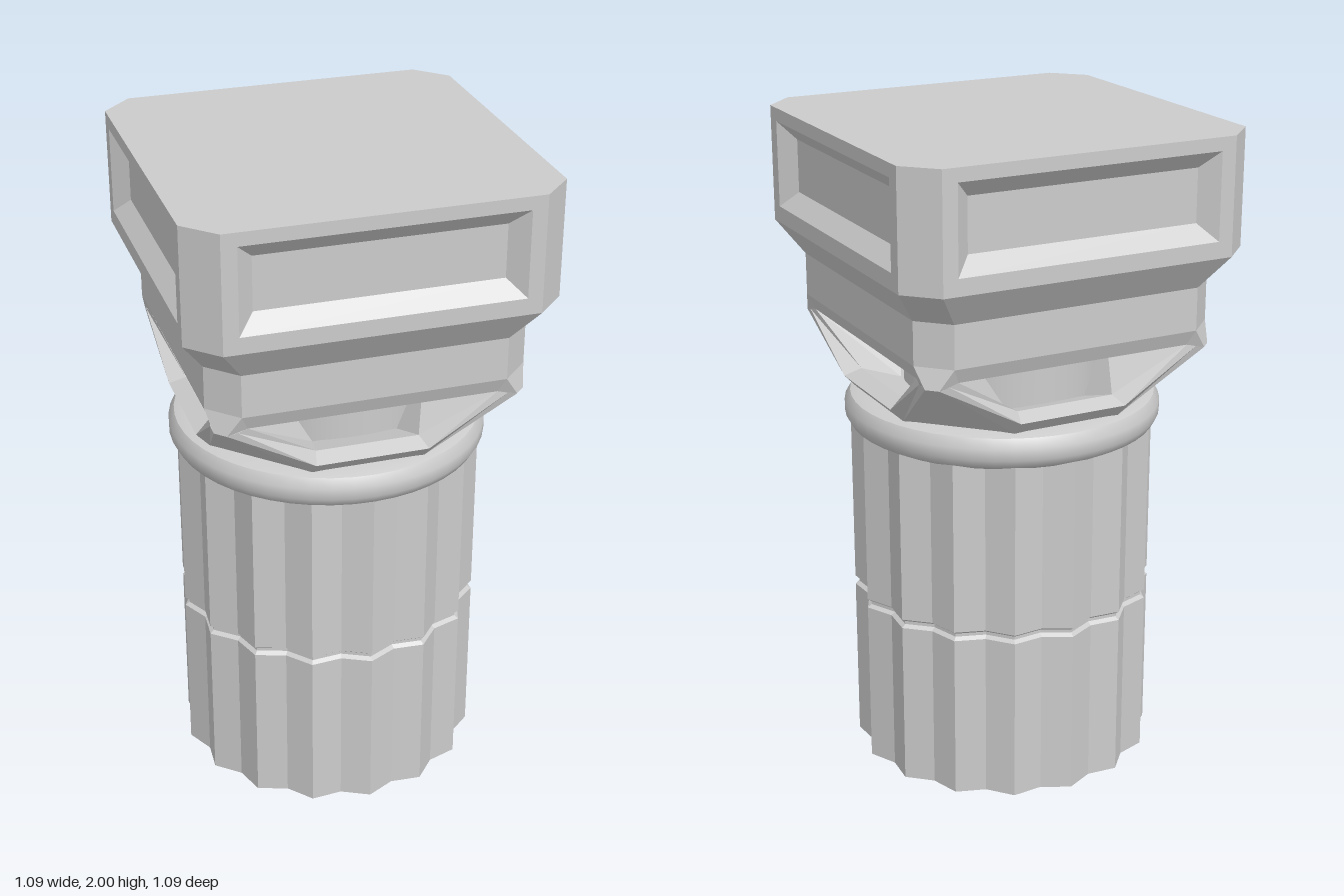
import * as THREE from 'three';
import { toCreasedNormals } from 'three/addons/utils/BufferGeometryUtils.js';

const smooth = new THREE.MeshStandardMaterial({ color: 0xcccccc });
const flat = new THREE.MeshStandardMaterial({ color: 0xcccccc, flatShading: true, side: THREE.DoubleSide });

function add(group, name, geometry, material) {
  const mesh = new THREE.Mesh(geometry, material);
  mesh.name = name;
  group.add(mesh);
  return mesh;
}

const lathe = (points, segments) =>
  new THREE.LatheGeometry(points.map(([r, y]) => new THREE.Vector2(r, y)), segments);

// Collects the polygons of one quarter and repeats them on all four sides
function fourSided(build) {
  const corners = [];
  const face = (...p) => {
    for (let i = 2; i < p.length; i++) corners.push(p[0], p[i - 1], p[i]);
  };
  // Quads between two rows of points, the second row lying above or inside the first
  const strip = (a, b, closed = false) => {
    for (let i = 0; i < a.length - (closed ? 0 : 1); i++) {
      const j = (i + 1) % a.length;
      face(a[i], a[j], b[j], b[i]);
    }
  };
  build(face, strip);
  const positions = [];
  for (let k = 0; k < 4; k++) {
    const c = [1, 0, -1, 0][k], s = [0, 1, 0, -1][k];
    for (const [x, y, z] of corners) positions.push(x * c + z * s, y, z * c - x * s);
  }
  const geometry = new THREE.BufferGeometry();
  geometry.setAttribute('position', new THREE.Float32BufferAttribute(positions, 3));
  geometry.computeVertexNormals();
  return geometry;
}

// Levels of the chamfered square block: height, half width, half length of the straight side
const levels = [
  [1.36, 0.46, 0.43], [1.42, 0.475, 0.39], [1.55, 0.475, 0.39], [1.65, 0.545, 0.455], [2, 0.545, 0.455],
];

function blockGeometry() {
  return fourSided((face, strip) => {
    const rect = (x, y0, y1, z) => [[-x, y0, z], [x, y0, z], [x, y1, z], [-x, y1, z]];
    for (let i = 0; i < levels.length - 1; i++) {
      const [y0, h0, c0] = levels[i], [y1, h1, c1] = levels[i + 1];
      // chamfered corner
      face([c0, y0, h0], [h0, y0, c0], [h1, y1, c1], [c1, y1, h1]);
      // plain neck faces
      if (i === 1 || i === 2) face([-c0, y0, h0], [c0, y0, h0], [c1, y1, h1], [-c1, y1, h1]);
    }
    // recessed panel
    const rim = rect(0.41, 1.7, 1.96, 0.545), bed = rect(0.36, 1.75, 1.91, 0.5);
    strip(rect(0.455, 1.65, 2, 0.545), rim, true);
    strip(rim, bed, true);
    face(...bed);
    // top
    face([-0.455, 2, 0.545], [0.455, 2, 0.545], [0, 2, 0]);
    face([0.455, 2, 0.545], [0.545, 2, 0.455], [0, 2, 0]);
  });
}

function archGeometry() {
  return fourSided((face, strip) => {
    // Symmetric row of four points: upper end, lower end, mirrored
    const row = ([x0, y0, z0], [x1, y1, z1]) =>
      [[-x0, y0, z0], [-x1, y1, z1], [x1, y1, z1], [x0, y0, z0]];
    const edge = row([0.43, 1.36, 0.46], [0.17, 1.175, 0.41]);
    const ridge = row([0.4, 1.368, 0.462], [0.17, 1.217, 0.45]);
    const opening = row([0.37, 1.375, 0.457], [0.155, 1.238, 0.4]);
    const inner = row([0.23, 1.375, 0.23], [0.13, 1.2, 0.28]);
    strip(edge, ridge);
    strip(ridge, opening);
    strip(opening, inner);
    // corner spandrel
    face([0.17, 1.175, 0.41], [0.41, 1.175, 0.17], [0.46, 1.36, 0.43], [0.43, 1.36, 0.46]);
    // lintel over the opening, and its soffit
    const [l, r] = [opening[0], opening[3]];
    face(l, r, [0.39, 1.42, 0.475], [-0.39, 1.42, 0.475]);
    face(r, edge[3], [0.39, 1.42, 0.475]);
    face(edge[0], l, [-0.39, 1.42, 0.475]);
    face(r, l, [0, 1.375, 0]);
  });
}

// Sixteen shallow flutes: every second line of points is pulled in
function shaftGeometry() {
  const profile = [[0, 0], [0.465, 0], [0.465, 0.515], [0.452, 0.524], [0.452, 0.534],
    [0.465, 0.543], [0.465, 1.1]];
  const geometry = lathe(profile, 32);
  const p = geometry.attributes.position;
  for (let i = 0; i < p.count; i++) {
    if (Math.floor(i / profile.length) % 2) p.setXYZ(i, p.getX(i) * 0.927, p.getY(i), p.getZ(i) * 0.927);
  }
  geometry.computeVertexNormals();
  return geometry;
}

export function createModel() {
  const column = new THREE.Group();
  column.name = 'column';
  add(column, 'flutedShaft', shaftGeometry(), flat);

  // Rounded collar on the shaft
  const collar = lathe([[0, 1.065], [0.44, 1.065], [0.468, 1.08], [0.482, 1.105], [0.482, 1.14],
    [0.465, 1.168], [0.435, 1.178], [0, 1.178]], 48);
  add(column, 'collar', toCreasedNormals(collar, 0.7), smooth);

  // Round core seen through the openings
  const core = add(column, 'capitalCore', new THREE.CylinderGeometry(0.3, 0.3, 0.2, 48, 1, true), smooth);
  core.position.y = 1.275;

  add(column, 'capitalArches', archGeometry(), flat);
  add(column, 'capitalBlock', blockGeometry(), flat);
  return column;
}
